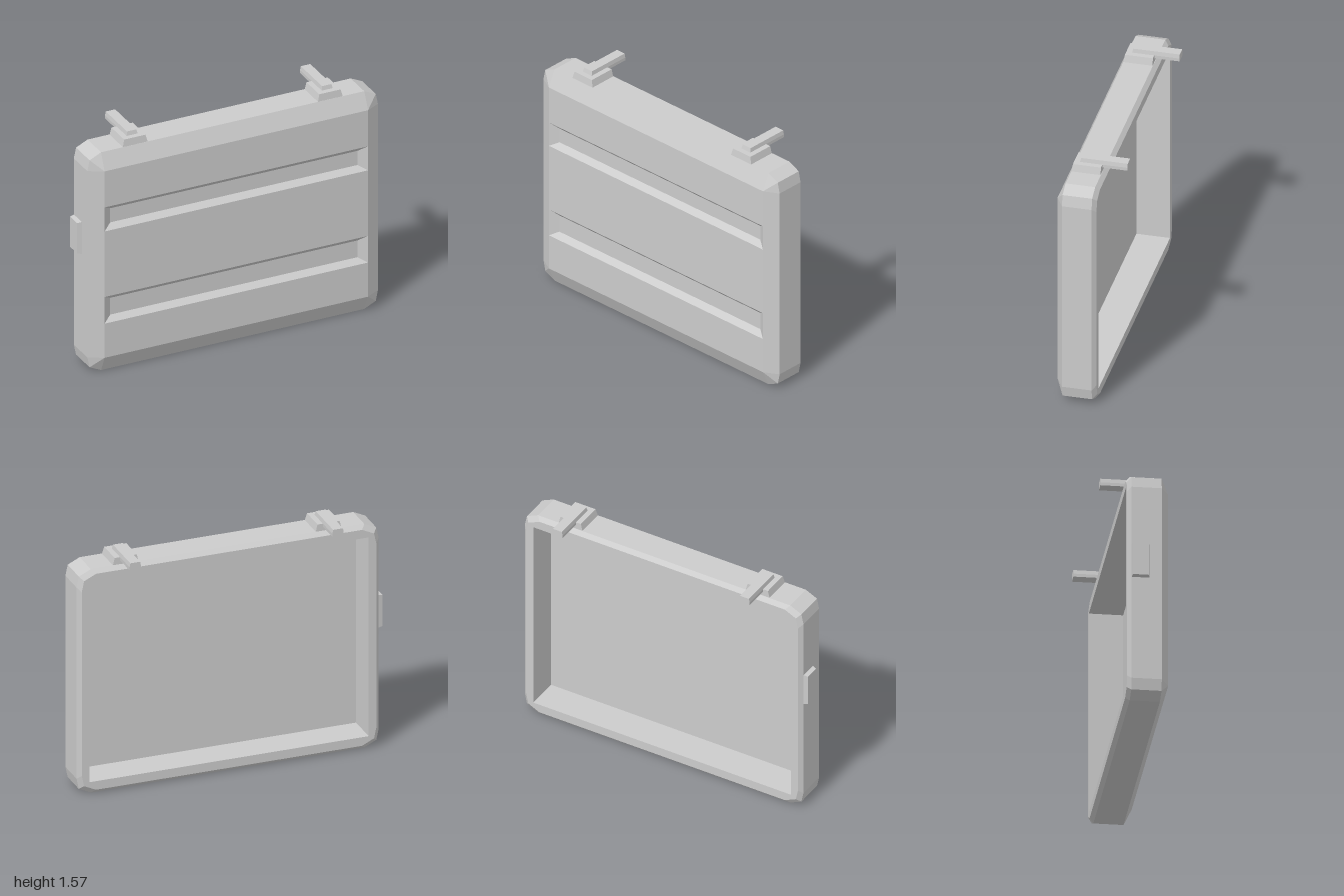
import * as THREE from 'three';

const material = new THREE.MeshStandardMaterial({ color: 0xcccccc, flatShading: true });

// Skin a list of rings (counter-clockwise seen from the first ring's side), with optional end caps.
function loft(rings, capFirst = true, capLast = true) {
  const pos = [];
  const tri = (a, b, c) => {
    const area = new THREE.Triangle(new THREE.Vector3(...a), new THREE.Vector3(...b), new THREE.Vector3(...c)).getArea();
    if (area > 1e-7) pos.push(...a, ...b, ...c);
  };
  for (let r = 0; r + 1 < rings.length; r++) {
    const a = rings[r], b = rings[r + 1];
    for (let i = 0; i < a.length; i++) {
      const j = (i + 1) % a.length;
      tri(a[i], b[i], b[j]);
      tri(a[i], b[j], a[j]);
    }
  }
  const first = rings[0], last = rings[rings.length - 1];
  for (let i = 1; i + 1 < first.length; i++) {
    if (capFirst) tri(first[0], first[i], first[i + 1]);
    if (capLast) tri(last[0], last[i + 1], last[i]);
  }
  const geometry = new THREE.BufferGeometry();
  geometry.setAttribute('position', new THREE.Float32BufferAttribute(pos, 3));
  geometry.computeVertexNormals();
  return geometry;
}

function part(name, geometry) {
  const mesh = new THREE.Mesh(geometry, material);
  mesh.name = name;
  return mesh;
}

// Rectangles facing +z, +y and -x
const rectZ = (x0, x1, y0, y1, z) => [[x1, y0, z], [x1, y1, z], [x0, y1, z], [x0, y0, z]];
const rectY = (x0, x1, z0, z1, y) => [[x1, y, z1], [x1, y, z0], [x0, y, z0], [x0, y, z1]];
const rectX = (z0, z1, y0, y1, x) => [[x, y0, z1], [x, y1, z1], [x, y1, z0], [x, y0, z0]];

const CX = 0.0125, CY = 0.7475;

// Twelve-point outline: three points at each corner, given as [x, y] from the centre
function outline(corner, z) {
  const ring = [];
  for (const [sx, sy] of [[1, -1], [1, 1], [-1, 1], [-1, -1]]) {
    const pts = corner.map(([x, y]) => [CX + sx * x, CY + sy * y, z]);
    ring.push(...(sx * sy < 0 ? pts : pts.reverse()));
  }
  return ring;
}
const rounded = (hx, hy, z) => outline([[hx - 0.093, hy], [hx - 0.015, hy - 0.037], [hx, hy - 0.108]], z);
const sharp = (hx, hy, z) => outline([[hx, hy], [hx, hy], [hx, hy]], z);

export function createModel() {
  const model = new THREE.Group();
  model.name = 'caseLid';

  // Hollow shell: front bevel, side wall, back bevel, rim, cavity and its floor
  model.add(part('shell', loft([
    sharp(0.8925, 0.64, 0.195),
    rounded(0.9845, 0.7475, 0.145),
    rounded(0.9845, 0.7475, -0.04),
    rounded(0.96, 0.7225, -0.065),
    sharp(0.91, 0.665, -0.065),
    sharp(0.91, 0.665, 0.145),
  ], false, true)));

  // Front panel bands between the grooves
  const x0 = CX - 0.8925, x1 = CX + 0.8925;
  const grooves = [[0.342, 0.525], [0.975, 1.14]];
  const bands = [[CY - 0.64, 0.342], [0.525, 0.975], [1.14, CY + 0.64]];
  for (const [y0, y1] of bands)
    model.add(part('frontPanel', loft([rectZ(x0, x1, y0, y1, 0.195)], true, false)));

  // Sunken grooves with sloping sides
  for (const [y0, y1] of grooves)
    model.add(part('groove', loft([
      rectZ(x0 + 0.055, x1 - 0.055, y0 + 0.033, y1 - 0.035, 0.16),
      rectZ(x0, x1, y0, y1, 0.195),
    ], true, false)));

  // Two hinges: tapered foot with an arm reaching back
  for (const x of [-0.647, 0.675]) {
    const hinge = new THREE.Group();
    hinge.name = 'hinge';
    hinge.position.x = x;
    hinge.add(part('hingeFoot', loft([
      rectY(-0.072, 0.072, -0.037, 0.138, 1.541),
      rectY(-0.085, 0.085, -0.038, 0.145, 1.49),
    ])));
    hinge.add(part('hingeArm', loft([
      rectY(-0.032, 0.032, -0.195, 0.095, 1.567),
      rectY(-0.037, 0.037, -0.195, 0.102, 1.541),
      rectY(-0.037, 0.037, -0.195, 0.102, 1.521),
    ])));
    model.add(hinge);
  }

  // Latch plate on the side
  model.add(part('latch', loft([
    rectX(-0.035, 0.062, 0.79, 0.997, -1),
    rectX(-0.04, 0.073, 0.782, 1.004, -0.965),
  ])));

  return model;
}
